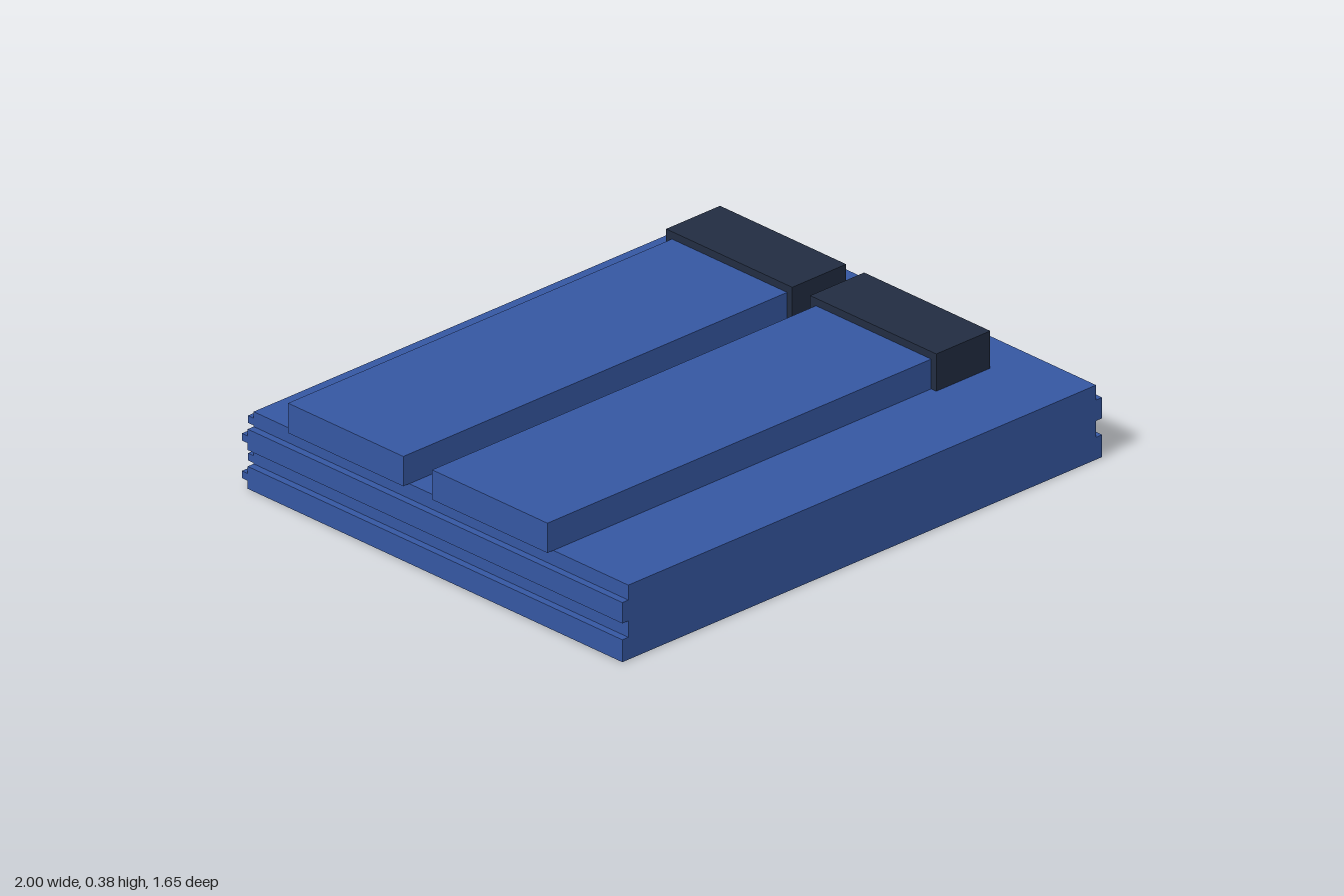
import * as THREE from 'three';

export function createModel() {
  const group = new THREE.Group();
  const blue = new THREE.MeshStandardMaterial({ color: 0x3557a2 });
  blue.name = 'blue';
  const dark = new THREE.MeshStandardMaterial({ color: 0x222d42 });
  dark.name = 'dark navy';

  const add = (name, geometry, material) => {
    const mesh = new THREE.Mesh(geometry, material);
    mesh.name = name;
    group.add(mesh);
    return mesh;
  };
  // Box given by its low and high corner
  const box = (name, x0, x1, y0, y1, z0, z1, material) =>
    add(name, new THREE.BoxGeometry(x1 - x0, y1 - y0, z1 - z0), material)
      .position.set((x0 + x1) / 2, (y0 + y1) / 2, (z0 + z1) / 2);

  // Base slab with grooves along both sides
  const half = [[1, 0], [1, 0.075], [0.975, 0.075], [0.975, 0.13],
    [1, 0.13], [1, 0.2], [0.975, 0.2], [0.975, 0.25]];
  const outline = [...half, ...half.map(([x, y]) => [-x, y]).reverse()];
  const profile = new THREE.Shape(outline.map(([x, y]) => new THREE.Vector2(x, y)));
  const base = new THREE.ExtrudeGeometry(profile, { depth: 1.625, bevelEnabled: false });
  base.translate(0, 0, -0.8);
  add('base', base, blue);

  // Thin ribs across the back; those level with a groove are shorter
  for (const [y, halfWidth] of [[0.027, 1], [0.078, 0.975], [0.153, 1], [0.204, 0.975]]) {
    box('backRib', -halfWidth, halfWidth, y, y + 0.024, -0.825, -0.8, blue);
  }

  // Two raised planks, each ending in a dark block
  for (const [z0, z1] of [[-0.625, -0.125], [0, 0.5]]) {
    box('plank', -1, 0.6, 0.25, 0.35, z0, z1, blue);
    box('endBlock', 0.6, 0.825, 0.25, 0.375, z0 - 0.025, z1 + 0.022, dark);
  }
  return group;
}
